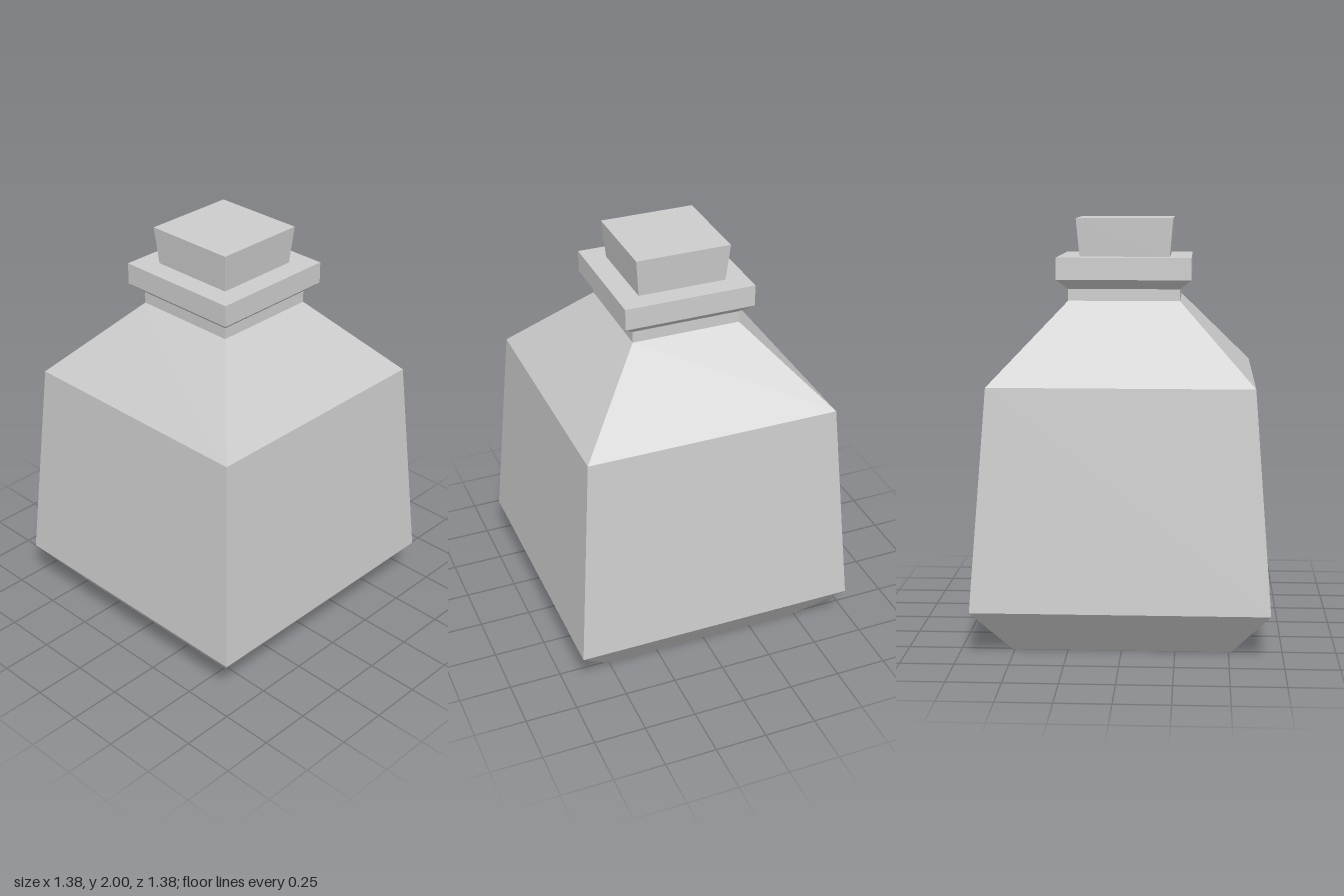
import * as THREE from 'three';

// Square solid of revolution: profile holds [half width, height], bottom to top
function squareLathe(name, profile, material) {
  const points = profile.map(([half, y]) => new THREE.Vector2(half * Math.SQRT2, y));
  const geometry = new THREE.LatheGeometry(points, 4, Math.PI / 4).toNonIndexed();
  geometry.computeVertexNormals(); // one normal per face keeps it faceted
  const mesh = new THREE.Mesh(geometry, material);
  mesh.name = name;
  return mesh;
}

export function createModel() {
  const group = new THREE.Group();
  group.name = 'bottle';

  const grey = new THREE.MeshStandardMaterial({ color: 0xcccccc });
  grey.name = 'light grey';

  // Base chamfer, tapering body and shoulders
  group.add(squareLathe('body', [
    [0, 0], [0.51, 0], [0.688, 0.222], [0.61, 1.25], [0.262, 1.617],
  ], grey));

  // Neck with flared lip
  group.add(squareLathe('neckAndLip', [
    [0.262, 1.617], [0.262, 1.672], [0.315, 1.717], [0.315, 1.82], [0, 1.82],
  ], grey));

  // Stopper, slightly wider at the top
  group.add(squareLathe('stopper', [
    [0.212, 1.82], [0.228, 2], [0, 2],
  ], grey));

  return group;
}
